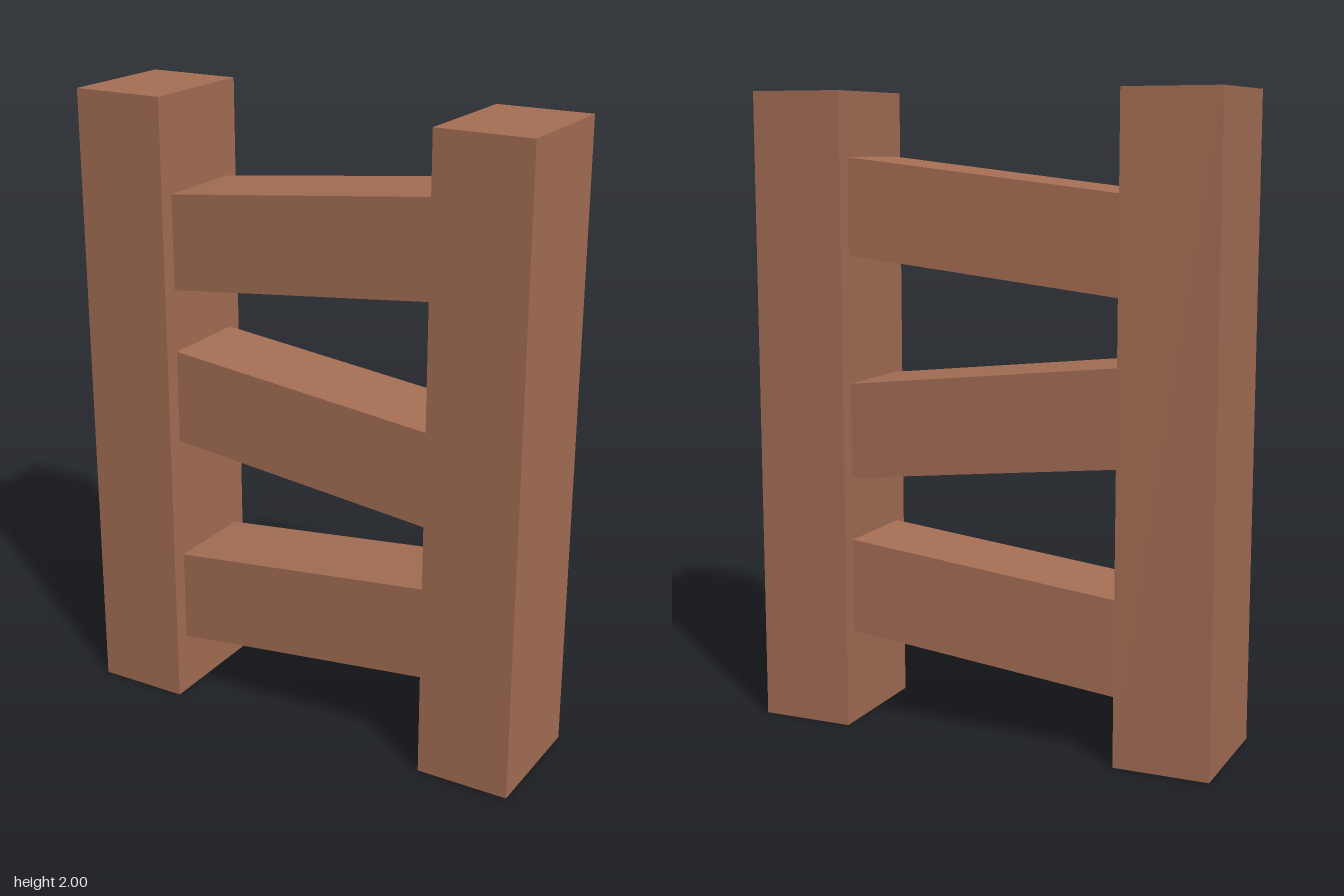
import * as THREE from 'three';

const POST_X = 0.6;   // post centre
const INNER_X = 0.45; // inner face of each post

export function createModel() {
  const group = new THREE.Group();
  group.name = 'ladder';
  const wood = new THREE.MeshStandardMaterial({ color: 0xa66f55, flatShading: true });
  wood.name = 'brown wood';

  const add = (name, geometry, x, y) => {
    const mesh = new THREE.Mesh(geometry, wood);
    mesh.name = name;
    mesh.position.set(x, y, 0);
    group.add(mesh);
  };

  // Two upright posts
  for (const [name, side] of [['leftPost', 1], ['rightPost', -1]]) {
    add(name, new THREE.BoxGeometry(0.3, 2, 0.4), side * POST_X, 1);
  }

  // Slanted rungs: boxes sheared so their ends stay flush with the posts
  const rungs = [
    ['lowerRung', 0.4, 1],
    ['middleRung', 1.0, -1],
    ['upperRung', 1.6, 1],
  ];
  for (const [name, y, slant] of rungs) {
    const geometry = new THREE.BoxGeometry(2 * INNER_X, 0.3, 0.3);
    const p = geometry.attributes.position;
    for (let i = 0; i < p.count; i++) {
      p.setY(i, p.getY(i) + slant * 0.05 * p.getX(i) / INNER_X);
    }
    geometry.computeVertexNormals();
    add(name, geometry, 0, y);
  }

  return group;
}
